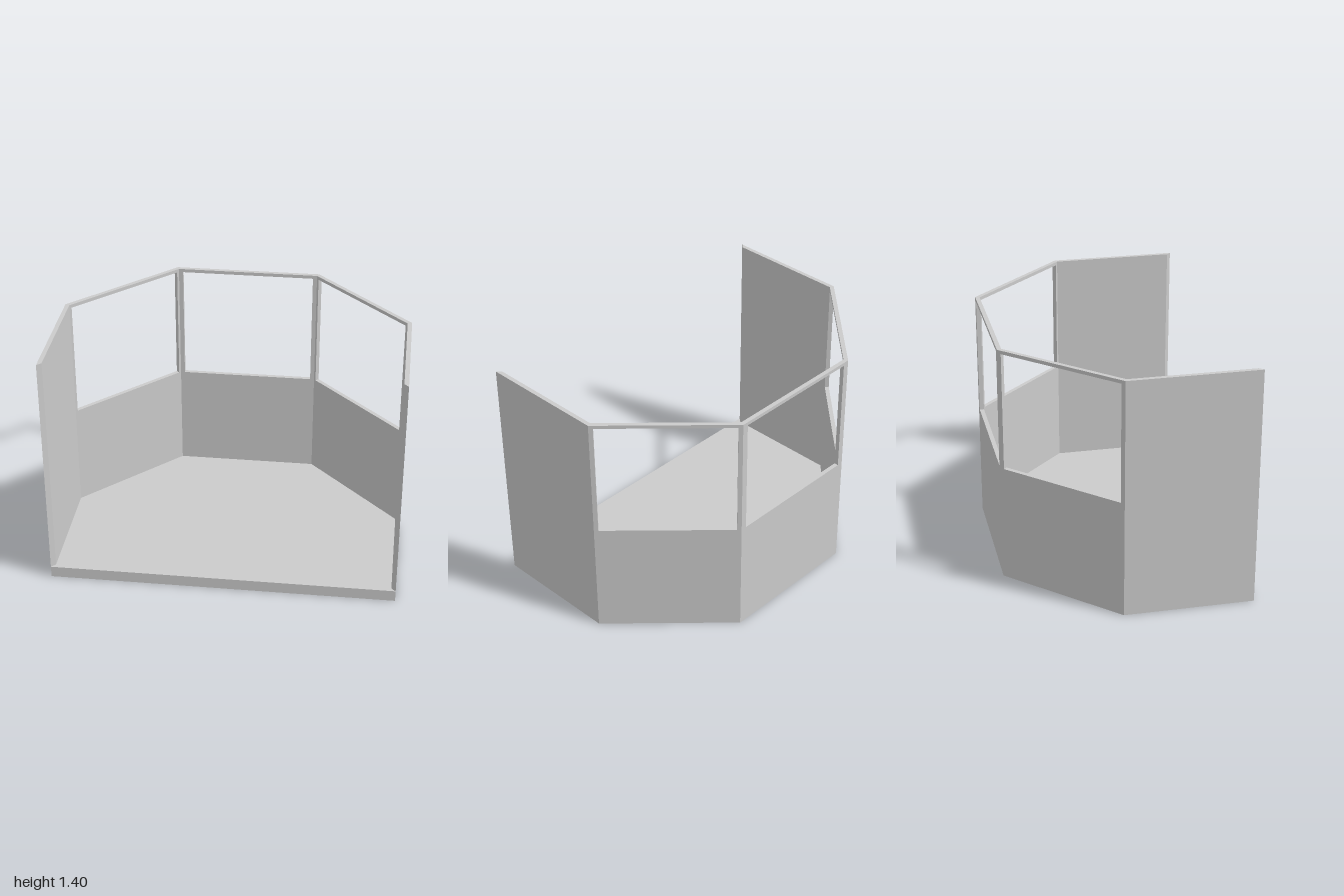
import * as THREE from 'three';

const HEIGHT = 1.4, FLOOR = 0.067, THICK = 0.025;
const SILL = 0.69, HEAD = 1.38;

// Outer corners in plan (x, z), from front right round the back to front left
const plan = [[-1, 0.665], [-1, -0.082], [-0.43, -0.665], [0.43, -0.665], [1, -0.082], [1, 0.665]]
  .map(([x, z]) => new THREE.Vector2(x, z));

const corner = i => plan[(i + plan.length) % plan.length];
const direction = i => corner(i + 1).clone().sub(corner(i)).normalize();
const inward = d => new THREE.Vector2(-d.y, d.x);

// Mitred inner corner: where the inner faces of the two adjoining edges meet
function innerCorner(i) {
  const a = inward(direction(i - 1)), b = inward(direction(i));
  const bisector = a.clone().add(b);
  return corner(i).clone().addScaledVector(bisector, THICK / (1 + a.dot(b)));
}

// Wall panel on edge i, mitred at both ends, with an optional window opening
function wallPanel(i, margin) {
  const start = corner(i), d = direction(i), n = inward(d);
  const length = start.distanceTo(corner(i + 1));
  const shape = new THREE.Shape([
    new THREE.Vector2(0, FLOOR), new THREE.Vector2(length, FLOOR),
    new THREE.Vector2(length, HEIGHT), new THREE.Vector2(0, HEIGHT)
  ]);
  if (margin) {
    shape.holes.push(new THREE.Path([
      new THREE.Vector2(margin, SILL), new THREE.Vector2(margin, HEAD),
      new THREE.Vector2(length - margin, HEAD), new THREE.Vector2(length - margin, SILL)
    ]));
  }
  const geometry = new THREE.ExtrudeGeometry(shape, { depth: THICK, bevelEnabled: false });
  const innerStart = innerCorner(i), innerEnd = innerCorner(i + 1);
  const pos = geometry.attributes.position;
  for (let k = 0; k < pos.count; k++) {
    const u = pos.getX(k), w = pos.getZ(k);
    let p = start.clone().addScaledVector(d, u).addScaledVector(n, w);
    if (w > THICK / 2 && u < 1e-5) p = innerStart;
    if (w > THICK / 2 && u > length - 1e-5) p = innerEnd;
    pos.setXYZ(k, p.x, pos.getY(k), p.y);
  }
  geometry.computeVertexNormals();
  return geometry;
}

export function createModel() {
  const group = new THREE.Group();
  const material = new THREE.MeshStandardMaterial({ color: 0xcccccc });
  const add = (name, geometry) => {
    const mesh = new THREE.Mesh(geometry, material);
    mesh.name = name;
    group.add(mesh);
  };

  // Floor slab fills the whole plan
  const outline = new THREE.Shape(plan.map(p => new THREE.Vector2(p.x, -p.y)));
  add('floor', new THREE.ExtrudeGeometry(outline, { depth: FLOOR, bevelEnabled: false }).rotateX(-Math.PI / 2));

  // Solid side walls, with three windowed walls between; the front stays open
  const walls = [
    ['rightWall', 0], ['rightWindowWall', 0.025], ['backWindowWall', 0.035],
    ['leftWindowWall', 0.025], ['leftWall', 0]
  ];
  walls.forEach(([name, margin], i) => add(name, wallPanel(i, margin)));

  return group;
}
